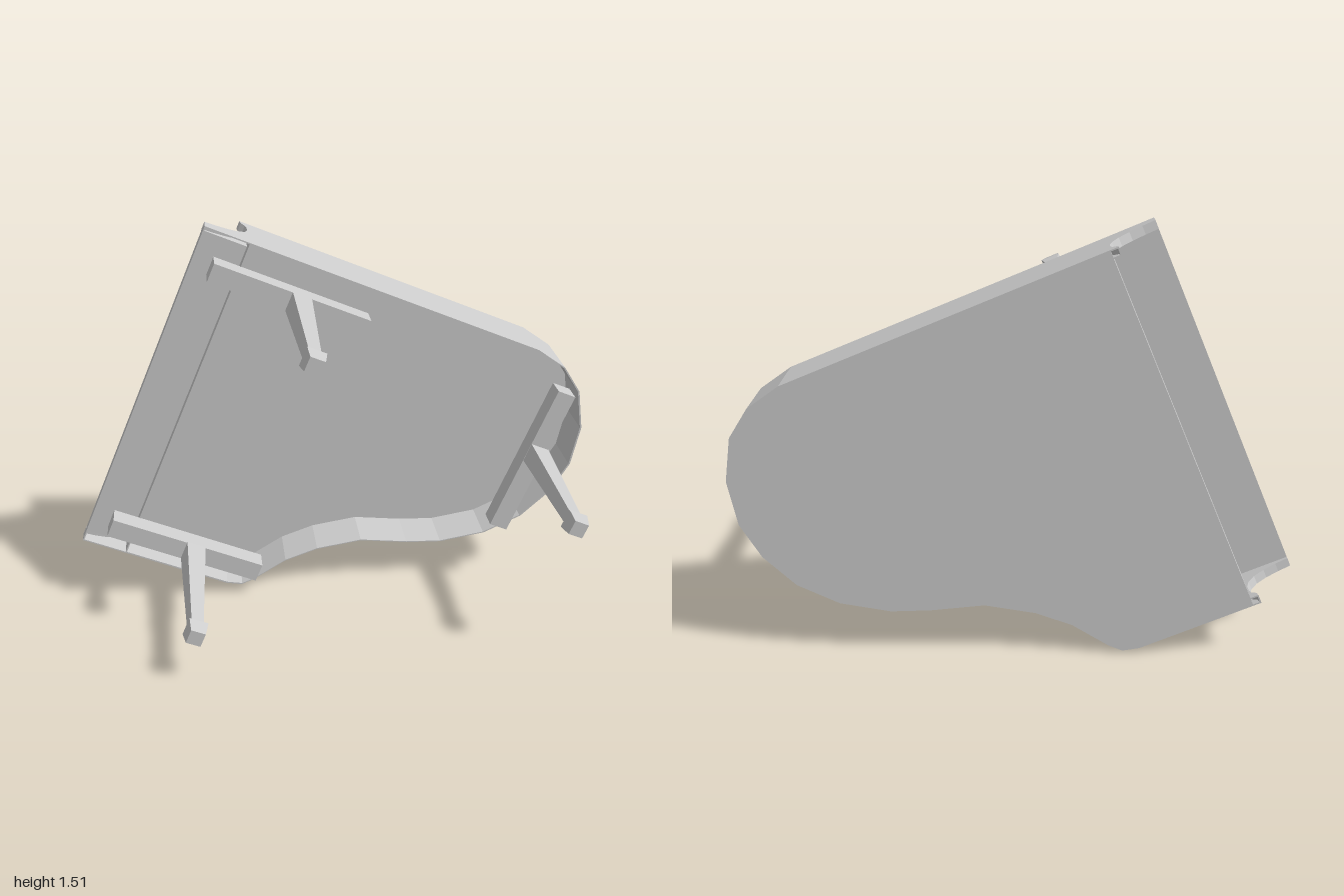
import * as THREE from 'three';

const grey = new THREE.MeshStandardMaterial({ color: 0xcccccc, flatShading: true });
grey.name = 'plain grey';

// Local frame: x = keyboard to tail, y = along the keyboard, z = from lid down to the feet
const FRONT = -0.728, FALL = -0.552, HIGH = 0.521, LOW = -0.848, DEPTH = 0.252;
const KEYS = 0.207, CHEEK = 0.032, SKIN = 0.005;

const points = (list) => list.map(([x, y]) => new THREE.Vector2(x, y));

// Plan outline of the case, from the straight side round the tail and the bent side
const outline = points([
  [FALL, HIGH], [0.646, 0.523], [0.779, 0.493], [0.88, 0.422], [0.96, 0.285], [0.99, 0.124],
  [0.967, -0.016], [0.902, -0.158], [0.791, -0.28], [0.637, -0.378], [0.506, -0.428],
  [0.323, -0.483], [0.168, -0.58], [0.066, -0.673], [-0.023, -0.796], [-0.061, -0.834],
  [-0.121, LOW], [FALL, LOW],
]);

// Scooped edge of the cheeks, from the lid down to the front lip
const scoop = [
  [-0.582, 0], [-0.578, 0.022], [-0.562, 0.038], [-0.556, 0.06], [-0.556, 0.095],
  [-0.566, 0.125], [-0.592, 0.153], [-0.632, 0.173], [-0.68, 0.187], [FRONT, 0.195],
];

function add(parent, name, geometry) {
  const mesh = new THREE.Mesh(geometry, grey);
  mesh.name = name;
  parent.add(mesh);
  return mesh;
}

function extrude(shape, depth) {
  return new THREE.ExtrudeGeometry(shape, { depth, bevelEnabled: false });
}

function box(x0, x1, y0, y1, z0, z1) {
  return new THREE.BoxGeometry(x1 - x0, y1 - y0, z1 - z0)
    .translate((x0 + x1) / 2, (y0 + y1) / 2, (z0 + z1) / 2);
}

// Side profile given in x and z, extruded downwards in y from top
function profile(list, top, width) {
  return extrude(new THREE.Shape(points(list)), width).rotateX(Math.PI / 2).translate(0, top, 0);
}

// Square tapered post running along z from z0 (side s0) to z1 (side s1)
function post(s0, s1, z0, z1) {
  return new THREE.CylinderGeometry(s1 / Math.SQRT2, s0 / Math.SQRT2, z1 - z0, 4)
    .rotateY(Math.PI / 4).rotateX(Math.PI / 2).translate(0, 0, (z0 + z1) / 2);
}

export function createModel() {
  const model = new THREE.Group();
  model.name = 'grandPiano';
  const piano = new THREE.Group();
  piano.name = 'tiltedPiano';
  model.add(piano);

  // Lid slab closing the top of the case
  add(piano, 'lid', extrude(new THREE.Shape(outline), 0.06));

  // Thin rim, hollow and open underneath; the hole runs against the outline
  const rim = new THREE.Shape(outline);
  rim.holes.push(new THREE.Path(
    outline.map((p) => new THREE.Vector2(0.1 + (p.x - 0.1) * 0.993, p.y * 0.993)).reverse()));
  add(piano, 'rim', extrude(rim, DEPTH - 0.06).translate(0, 0, 0.06));

  // Thin keyboard shelf, set up behind a front lip
  add(piano, 'keyboardShelf',
    box(FRONT, FALL + 0.002, LOW + CHEEK, HIGH - CHEEK, KEYS, KEYS + SKIN));
  add(piano, 'frontLip', box(FRONT, FRONT + SKIN, LOW, HIGH, KEYS, DEPTH));

  // Hollow cheeks, open below: outer wall, inner wall and scooped cover
  const back = FALL + 0.003;
  const cover = [...scoop, ...scoop.map(([x, z], i) => [
    i < 5 ? Math.min(x + SKIN, back) : x, i < 5 ? z : z + SKIN + 0.002,
  ]).reverse()];
  for (const [name, outer, inner] of [
    ['upperCheek', HIGH, HIGH - CHEEK + SKIN], ['lowerCheek', LOW + SKIN, LOW + CHEEK],
  ]) {
    const cheek = new THREE.Group();
    cheek.name = name;
    piano.add(cheek);
    add(cheek, 'outerWall', profile([...scoop, [FRONT, DEPTH], [back, DEPTH], [back, 0]], outer, SKIN));
    add(cheek, 'innerWall',
      profile([...scoop, [FRONT, KEYS + SKIN], [back, KEYS + SKIN], [back, 0]], inner, SKIN));
    add(cheek, 'scoopedCover', profile(cover, Math.max(outer, inner), CHEEK));
  }

  // Three legs, each on a cross bar: bar centre, bar half sizes, leg position
  const supports = [
    ['upperLeg', -0.348, 0.388, 0.31, 0.037, -0.315, 0.388],
    ['lowerLeg', -0.345, -0.718, 0.31, 0.037, -0.315, -0.716],
    ['tailLeg', 0.8, 0.108, 0.037, 0.31, 0.802, 0.14],
  ];
  for (const [name, bx, by, hx, hy, lx, ly] of supports) {
    const support = new THREE.Group();
    support.name = name;
    piano.add(support);
    add(support, 'crossBar', box(bx - hx, bx + hx, by - hy, by + hy, DEPTH - 0.004, 0.333));
    const leg = new THREE.Group();
    leg.name = 'leg';
    leg.position.set(lx, ly, 0);
    support.add(leg);
    add(leg, 'shaft', post(0.076, 0.046, 0.328, 0.86));
    add(leg, 'collar', post(0.05, 0.072, 0.857, 0.872));
    add(leg, 'foot', post(0.072, 0.055, 0.872, 0.935));
  }

  // Stand the piano on its side with a slight lean
  const down = new THREE.Vector3(-0.019, -0.031, 1).normalize();
  const along = new THREE.Vector3(0.388, 0.922, 0);
  along.addScaledVector(down, -along.dot(down)).normalize();
  const length = new THREE.Vector3().crossVectors(along, down);
  piano.quaternion.setFromRotationMatrix(new THREE.Matrix4().makeBasis(length, along, down));
  piano.position.set(0.003, 0.754, -0.456);
  return model;
}
